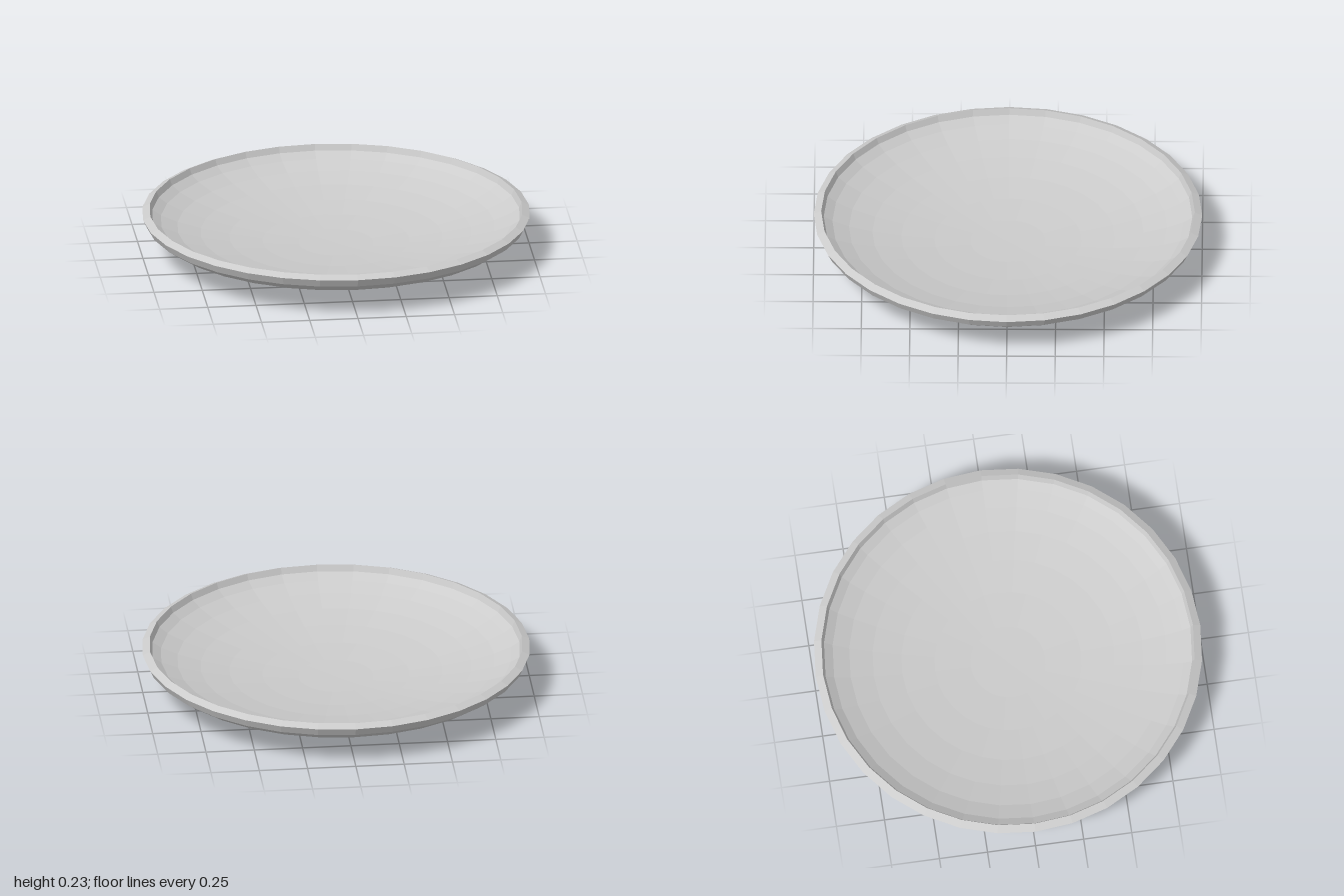
import * as THREE from 'three';

const SIDES = 32, RINGS = 8, RADIUS = 1, DEPTH = 0.21, THICKNESS = 0.042;

export function createModel() {
  const group = new THREE.Group();
  group.name = 'shallowDish';

  // Underside: lower half of a flattened sphere, from the centre out to the rim
  const outer = [];
  for (let i = 0; i <= RINGS; i++) {
    const a = (i / RINGS) * Math.PI / 2;
    outer.push(new THREE.Vector2(RADIUS * Math.sin(a), DEPTH * (1 - Math.cos(a))));
  }

  // Inward normal of the profile segment from ring i to ring i + 1
  const segmentNormal = (i) => {
    const d = outer[i + 1].clone().sub(outer[i]).normalize();
    return new THREE.Vector2(-d.y, d.x);
  };

  // Bowl surface: the underside moved inward by the wall thickness
  const inner = outer.map((p, i) => {
    if (i === 0) return new THREE.Vector2(0, THICKNESS);
    const n = segmentNormal(i - 1);
    if (i < RINGS) n.add(segmentNormal(i)).normalize();
    return p.clone().addScaledVector(n, THICKNESS);
  });

  // One closed shell: underside, slanted rim, bowl
  const profile = [...outer, ...inner.reverse()];
  const dish = new THREE.Mesh(
    new THREE.LatheGeometry(profile, SIDES),
    new THREE.MeshStandardMaterial({ color: 0xcccccc, flatShading: true })
  );
  dish.name = 'dish';
  group.add(dish);
  return group;
}
